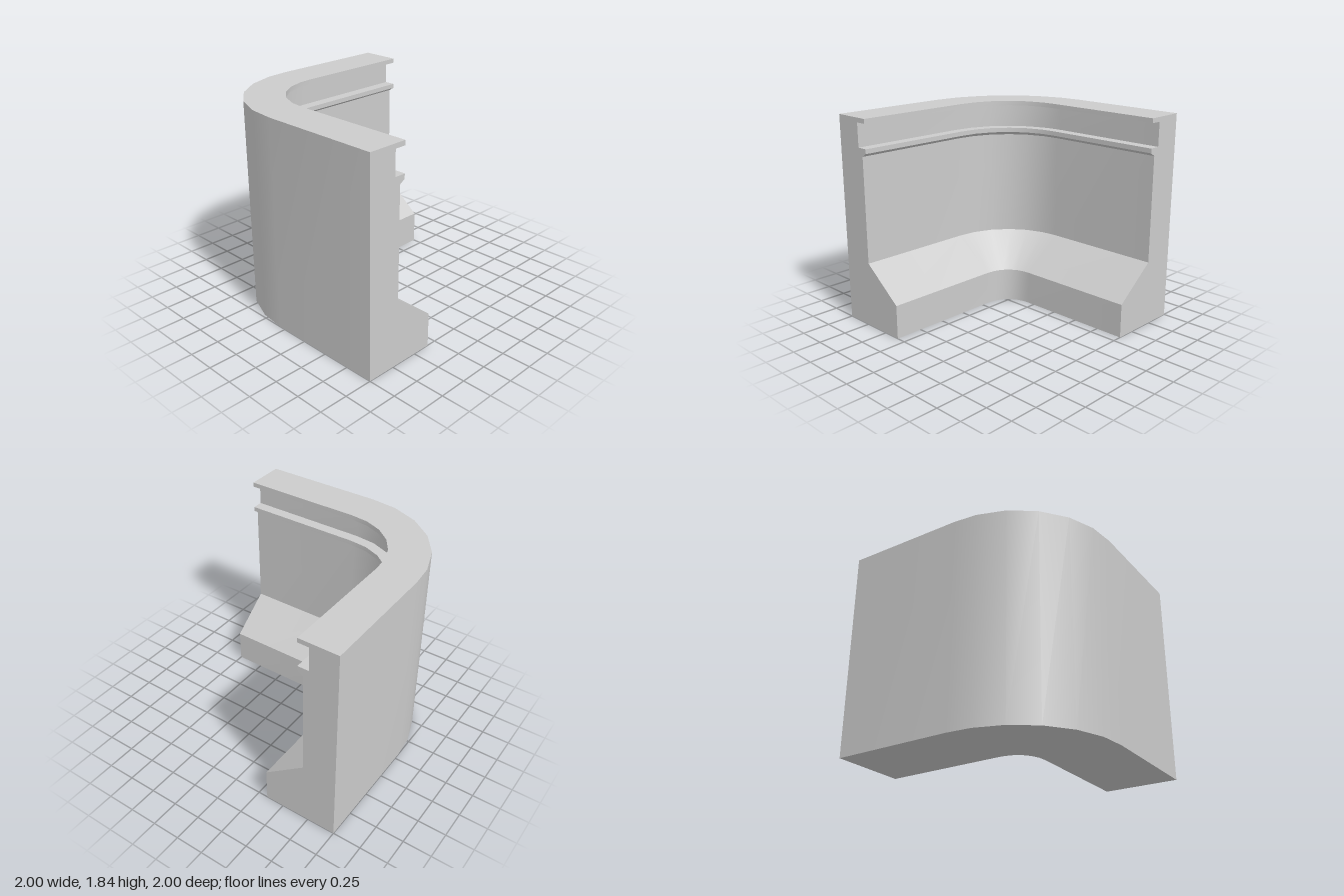
import * as THREE from 'three';
import { toCreasedNormals } from 'three/addons/utils/BufferGeometryUtils.js';

// Wall cross-section, counter-clockwise: [distance inward from outer face, height]
const PROFILE = [
  [0, 0], [0.664, 0], [0.664, 0.3], [0.3, 0.583], [0.3, 1.52], [0.347, 1.55],
  [0.347, 1.59], [0.25, 1.59], [0.25, 1.8], [0.347, 1.8], [0.347, 1.84], [0, 1.84],
];

// Outer edge of the plan: [x, z, direction of the inward offset in degrees]
const PATH = [
  [-1, 1, 0], [-1, -0.06, 0],
  [-0.973, -0.3, 13], [-0.88, -0.537, 28.5], [-0.717, -0.746, 45.3],
  [-0.508, -0.896, 61.8], [-0.267, -0.98, 77.5],
  [-0.06, -1, 90], [1, -1, 90],
];

// Sweep the profile along the path and cap both ends
function sweepWall() {
  const n = PROFILE.length;
  const last = (PATH.length - 1) * n;
  const positions = [];
  const index = [];
  for (const [x, z, degrees] of PATH) {
    const a = THREE.MathUtils.degToRad(degrees);
    for (const [d, y] of PROFILE) {
      positions.push(x + d * Math.cos(a), y, z + d * Math.sin(a));
    }
  }
  for (let i = 0; i < last; i += n) {
    for (let j = 0; j < n; j++) {
      const a = i + j;
      const b = i + ((j + 1) % n);
      index.push(a, a + n, b + n, a, b + n, b);
    }
  }
  const outline = PROFILE.map(([d, y]) => new THREE.Vector2(d, y));
  for (const [a, b, c] of THREE.ShapeUtils.triangulateShape(outline, [])) {
    index.push(a, b, c, last + a, last + c, last + b);
  }
  const geometry = new THREE.BufferGeometry();
  geometry.setAttribute('position', new THREE.Float32BufferAttribute(positions, 3));
  geometry.setIndex(index);
  return toCreasedNormals(geometry, 0.45);
}

export function createModel() {
  const group = new THREE.Group();
  group.name = 'cornerWall';

  // Rounded corner wall with sloped foot, ledge and groove
  const wall = new THREE.Mesh(
    sweepWall(),
    new THREE.MeshStandardMaterial({ color: 0xcccccc }),
  );
  wall.name = 'wall';
  group.add(wall);
  return group;
}
